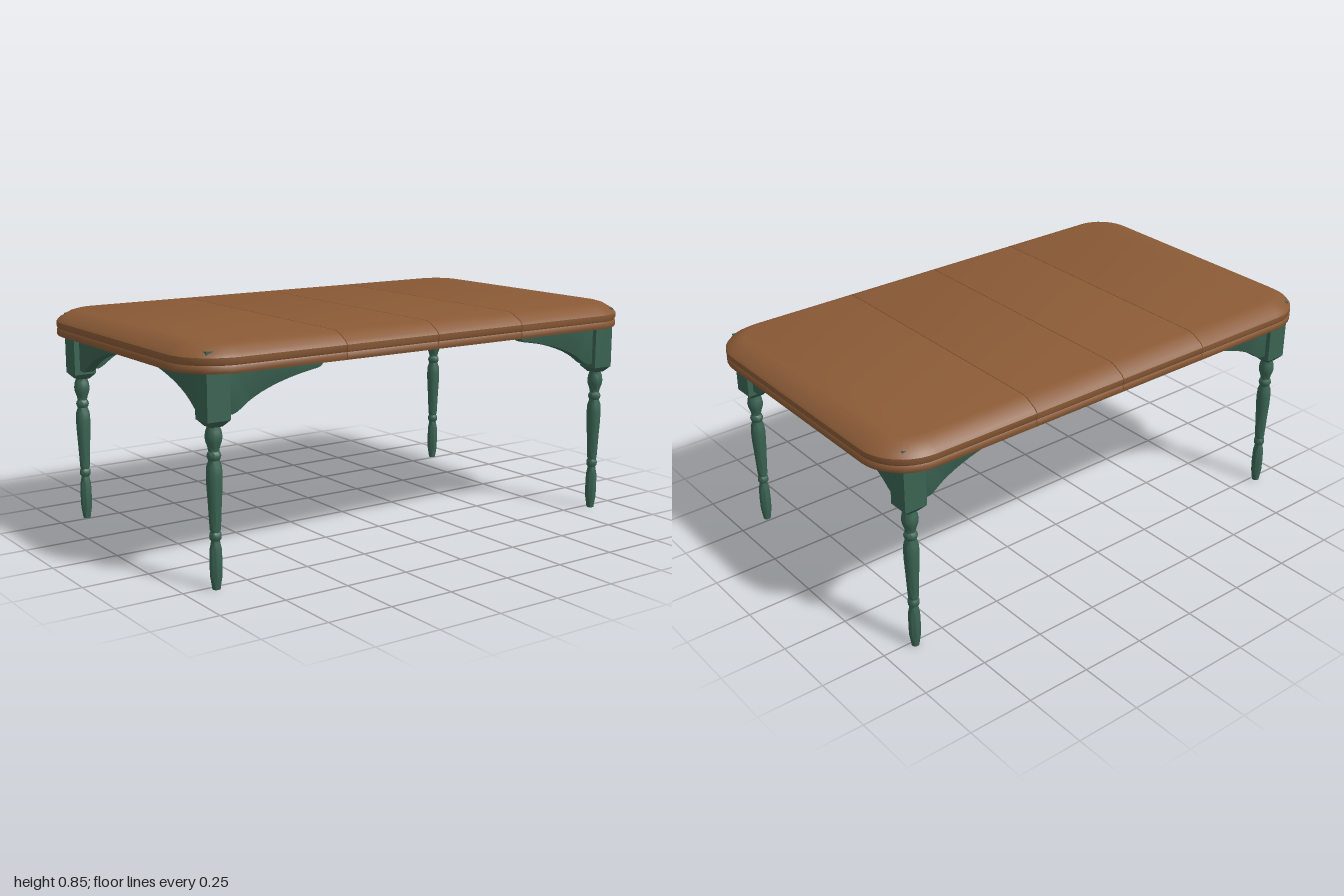
import * as THREE from 'three';
import { toCreasedNormals } from 'three/addons/utils/BufferGeometryUtils.js';

const wood = new THREE.MeshStandardMaterial({ color: 0x8a5a36 });
wood.name = 'brown wood';
const paint = new THREE.MeshStandardMaterial({ color: 0x3a6352 });
paint.name = 'green paint';

const SEAMS = [-0.4, 0, 0.4];

// Front half of a rounded rectangle, left to right: [x, z, isSeam]
function halfOutline(inset) {
  const hx = 1 - inset, hz = 0.605 - inset, r = 0.18 - inset, steps = 10;
  const left = [];
  for (let i = 0; i <= steps; i++) {
    const a = (i / steps) * Math.PI / 2;
    left.push([-hx + r - r * Math.cos(a), hz - r + r * Math.sin(a), 0]);
  }
  const seams = SEAMS.flatMap(s => [[s - 0.002, hz, 0], [s, hz, 1], [s + 0.002, hz, 0]]);
  const right = left.map(([x, z]) => [-x, z, 0]).reverse();
  return [...left, ...seams, ...right];
}

// Hollow table top: edge profile swept round the outline, then capped above and below
function tableTopGeometry() {
  const profile = [ // inset, height: from the underside, round the rim, to the top
    [0.06, 0.832], [0.03, 0.818], [0.015, 0.80], [0.015, 0.75], [0.003, 0.75], [0, 0.755],
    [0, 0.77], [0.004, 0.777], [0, 0.784], [0, 0.803], [0.01, 0.815], [0.05, 0.838], [0.075, 0.845],
  ];
  const pos = [], index = [];
  let half = 0;
  profile.forEach(([inset, y], j) => {
    const front = halfOutline(inset);
    half = front.length;
    const ring = [...front, ...front.map(([x, z, s]) => [x, -z, s]).reverse()];
    for (const [x, z, s] of ring) {
      const dip = s && j > 4 ? 0.003 : 0; // fine groove between the leaves
      pos.push(x, y - (j > 9 ? dip : 0), z - Math.sign(z) * dip);
    }
  });
  const n = half * 2, last = (profile.length - 1) * n;
  for (let j = 0; j < profile.length - 1; j++) {
    for (let i = 0; i < n; i++) {
      const a = j * n + i, b = j * n + (i + 1) % n;
      index.push(a, b, b + n, a, b + n, a + n);
    }
  }
  for (let i = 0; i < half - 1; i++) {
    const p = i, q = i + 1, r = n - 2 - i, s = n - 1 - i;
    index.push(last + p, last + q, last + r, last + p, last + r, last + s);
    index.push(p, r, q, p, s, r);
  }
  const g = new THREE.BufferGeometry();
  g.setAttribute('position', new THREE.Float32BufferAttribute(pos, 3));
  g.setIndex(index);
  return toCreasedNormals(g, 0.6);
}

// Turned leg: radius, height
function legGeometry() {
  const profile = [
    [0, 0], [0.014, 0], [0.017, 0.02], [0.021, 0.045], [0.022, 0.09], [0.021, 0.14], [0.016, 0.165],
    [0.015, 0.172], [0.02, 0.177], [0.021, 0.187], [0.02, 0.197], [0.016, 0.202], [0.019, 0.21],
    [0.021, 0.25], [0.024, 0.31], [0.027, 0.36], [0.028, 0.40], [0.026, 0.43], [0.019, 0.45],
    [0.022, 0.455], [0.025, 0.465], [0.022, 0.475], [0.018, 0.48], [0.021, 0.495], [0.028, 0.515],
    [0.03, 0.53], [0.027, 0.55], [0.021, 0.566], [0.021, 0.6],
  ].map(([r, y]) => new THREE.Vector2(r, y));
  return toCreasedNormals(new THREE.LatheGeometry(profile, 24), 0.9);
}

// Curved corner bracket, reaching outward along +x from the leg block
function bracketGeometry() {
  const depth = 0.045, bevel = 0.006;
  const s = new THREE.Shape();
  s.moveTo(-0.02, 0.82);
  s.lineTo(-0.02, 0.6);
  s.lineTo(0.025, 0.6);
  s.quadraticCurveTo(0.04, 0.602, 0.065, 0.622);
  s.bezierCurveTo(0.13, 0.672, 0.25, 0.705, 0.36, 0.721);
  s.quadraticCurveTo(0.388, 0.724, 0.39, 0.75);
  s.lineTo(0.39, 0.82);
  s.closePath();
  const g = new THREE.ExtrudeGeometry(s, {
    depth: depth - 2 * bevel, curveSegments: 10,
    bevelEnabled: true, bevelSize: bevel, bevelOffset: -bevel, bevelThickness: bevel, bevelSegments: 2,
  });
  g.translate(0, 0, -depth / 2 + bevel);
  return toCreasedNormals(g, 0.7);
}

export function createModel() {
  const model = new THREE.Group();
  model.name = 'diningTable';
  const add = (parent, name, geometry, material, x = 0, y = 0, z = 0) => {
    const m = new THREE.Mesh(geometry, material);
    m.name = name;
    m.position.set(x, y, z);
    parent.add(m);
    return m;
  };

  add(model, 'tableTop', tableTopGeometry(), wood);

  const leg = legGeometry();
  const bracket = bracketGeometry();
  const block = new THREE.BoxGeometry(0.088, 0.235, 0.082);
  // Square taper joining the block to the turned leg
  const taper = new THREE.CylinderGeometry(0.042 * Math.SQRT2, 0.022 * Math.SQRT2, 0.022, 4, 1)
    .toNonIndexed().rotateY(Math.PI / 4);
  taper.computeVertexNormals();

  for (const sx of [1, -1]) {
    for (const sz of [1, -1]) {
      const corner = new THREE.Group();
      corner.name = (sz > 0 ? 'front' : 'back') + (sx > 0 ? 'Left' : 'Right') + 'Leg';
      corner.position.set(sx * 0.88 - 0.003, 0, sz * 0.519 + 0.003);
      add(corner, 'turnedLeg', leg, paint);
      add(corner, 'legTaper', taper, paint, 0, 0.576, 0);
      add(corner, 'legBlock', block, paint, 0, 0.7045, 0);
      // Brackets run from the block towards the table middle
      add(corner, 'longSideBracket', bracket, paint, -sx * 0.04, 0, 0)
        .rotation.y = sx > 0 ? Math.PI : 0;
      add(corner, 'shortSideBracket', bracket, paint, 0, 0, -sz * 0.04)
        .rotation.y = sz * Math.PI / 2;
      model.add(corner);
    }
  }
  return model;
}
